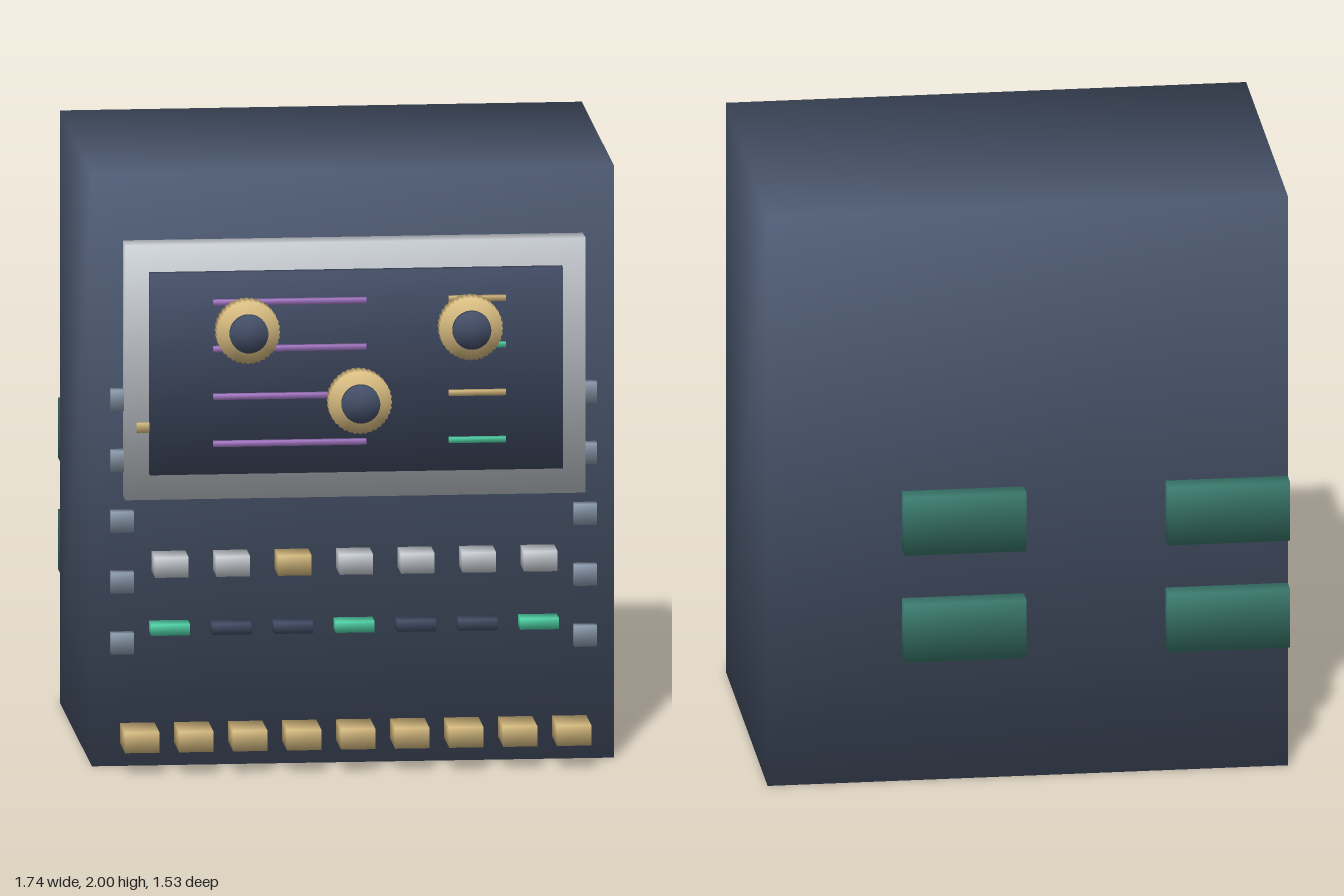
import * as THREE from 'three';

const mat = (name, color) => {
  const m = new THREE.MeshStandardMaterial({ color });
  m.name = name;
  return m;
};

// Average the normals that meet at each corner, so shading runs smoothly around every edge
function soften(geometry) {
  const { position, normal } = geometry.attributes;
  const sums = new Map();
  const corners = [];
  for (let i = 0; i < position.count; i++) {
    const key = [position.getX(i), position.getY(i), position.getZ(i)].map((v) => Math.round(v * 1e4)).join();
    if (!sums.has(key)) sums.set(key, new THREE.Vector3());
    const sum = sums.get(key);
    sum.add(new THREE.Vector3().fromBufferAttribute(normal, i));
    corners.push(sum);
  }
  sums.forEach((sum) => sum.normalize());
  corners.forEach((n, i) => normal.setXYZ(i, n.x, n.y, n.z));
  return geometry;
}

// Disc facing the front
const disc = (radius, depth, sides) =>
  new THREE.CylinderGeometry(radius, radius, depth, sides).rotateX(Math.PI / 2);

// Disc with a finely toothed rim: every other rim corner is drawn in
function knurledDisc(radius, depth, teeth) {
  const geometry = disc(radius, depth, teeth * 2);
  const p = geometry.attributes.position;
  for (let i = 0; i < p.count; i++) {
    const step = Math.round((Math.atan2(p.getX(i), p.getY(i)) * teeth) / Math.PI);
    const scale = step % 2 ? 0.96 : 1;
    p.setXY(i, p.getX(i) * scale, p.getY(i) * scale);
  }
  return geometry;
}

export function createModel() {
  const model = new THREE.Group();
  model.name = 'controlCabinet';

  const slate = mat('slate casing', 0x4f5c74);
  const navy = mat('dark navy', 0x444f68);
  const silver = mat('silver', 0xced3d9);
  const brass = mat('brass', 0xd9bd82);
  const steel = mat('blue steel', 0x8e9db0);
  const mint = mat('mint light', 0x52d6aa);
  const violet = mat('violet trace', 0xae7fd0);
  const teal = mat('teal vent', 0x3c7c70);

  const add = (name, geometry, material, x, y, z) => {
    const mesh = new THREE.Mesh(geometry, material);
    mesh.name = name;
    mesh.position.set(x, y, z);
    model.add(mesh);
  };
  // Box given by its centre in x and y, its size, and its z range from back to front
  const block = (name, material, x, y, w, h, back, front) =>
    add(name, soften(new THREE.BoxGeometry(w, h, front - back)), material, x, y, (back + front) / 2);

  // Cabinet body, display frame and screen
  block('cabinet', slate, 0, 1, 1.74, 2, -0.695, 0.465);
  block('displayFrame', silver, 0, 1.344, 1.534, 0.86, 0.44, 0.56);
  block('screen', navy, 0, 1.343, 1.376, 0.68, 0.55, 0.593);
  block('frameTab', brass, -0.69, 1.159, 0.08, 0.034, 0.54, 0.572);

  // Trace lines on the screen
  [1.585, 1.428, 1.267, 1.108].forEach((y, i) => {
    block('longTrace', violet, -0.223, y, 0.51, 0.018, 0.59, 0.617);
    block('shortTrace', i % 2 ? mint : brass, 0.402, y, 0.19, 0.018, 0.59, 0.617);
  });

  // Toothed dials with dark caps
  const dialGeometry = soften(knurledDisc(0.107, 0.069, 36));
  const capGeometry = soften(disc(0.064, 0.025, 32));
  for (const [x, y] of [[-0.373, 1.505], [0.37, 1.505], [0, 1.262]]) {
    add('dial', dialGeometry, brass, x, y, 0.696);
    add('dialCap', capGeometry, navy, x, y, 0.753);
  }

  // Push buttons, with indicator lights below
  for (let i = 0; i < 7; i++) {
    const x = (i - 3) * 0.205;
    block('button', i === 2 ? brass : silver, x, 0.69, 0.112, 0.067, 0.46, 0.593);
    block('indicator', i % 3 ? navy : mint, x, 0.471, 0.13, 0.037, 0.46, 0.55);
  }

  // Row of keys along the foot
  for (let i = 0; i < 9; i++) {
    block('key', brass, (i - 4) * 0.18, 0.113, 0.114, 0.069, 0.478, 0.66);
  }

  // Bolts down both edges
  for (const side of [-1, 1]) {
    for (let i = 0; i < 5; i++) {
      block('bolt', steel, side * 0.772, 0.42 + i * 0.2055, 0.076, 0.07, 0.468, 0.513);
    }
  }

  // Vents set into the back
  for (const x of [-0.665, 0.217]) {
    for (const y of [0.54, 0.916]) {
      block('backVent', teal, x, y, 0.408, 0.204, -0.765, -0.62);
    }
  }
  return model;
}
